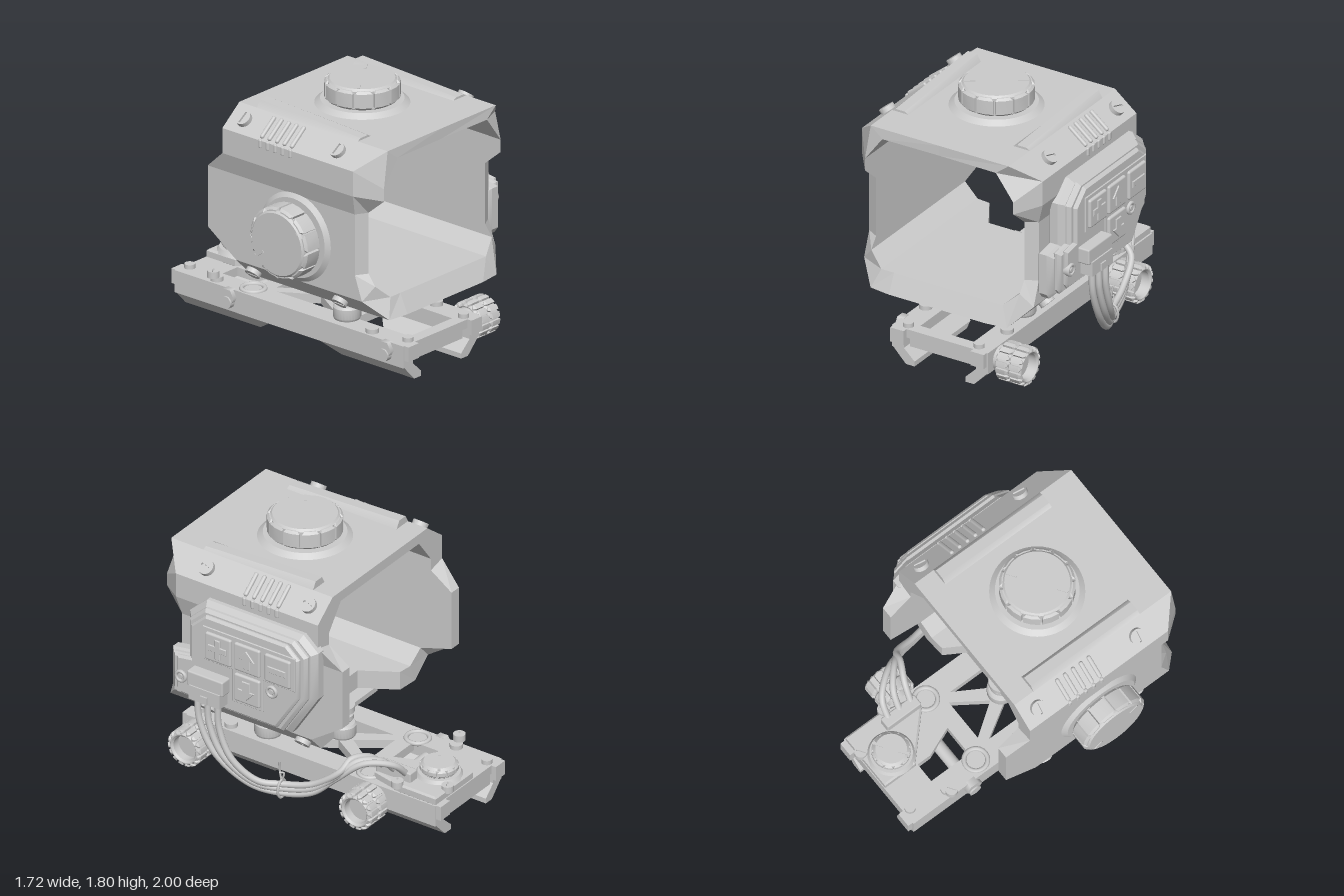
import * as THREE from 'three';
import { toCreasedNormals } from 'three/addons/utils/BufferGeometryUtils.js';
import { RoundedBoxGeometry } from 'three/addons/geometries/RoundedBoxGeometry.js';

const CX = -0.045; // middle of the housing and mount
const mat = new THREE.MeshStandardMaterial({ color: 0xcccccc });
const Z = new THREE.Vector3(0, 0, 1);

function add(parent, name, geo, x = 0, y = 0, z = 0) {
  const m = new THREE.Mesh(geo, mat);
  m.name = name;
  m.position.set(x, y, z);
  parent.add(m);
  return m;
}
const box = (w, h, d) => new THREE.BoxGeometry(w, h, d);
const cyl = (r, h, n = 24, r2 = r) => new THREE.CylinderGeometry(r2, r, h, n);
const shapeOf = pts => new THREE.Shape(pts.map(p => new THREE.Vector2(p[0], p[1])));
const pathOf = pts => new THREE.Path(pts.map(p => new THREE.Vector2(p[0], p[1])));
function extrude(shape, depth, bevel = 0) {
  const g = new THREE.ExtrudeGeometry(shape, {
    depth: depth - 2 * bevel, bevelEnabled: bevel > 0, bevelThickness: bevel,
    bevelSize: bevel, bevelOffset: -bevel, bevelSegments: 1, curveSegments: 24 });
  g.translate(0, 0, bevel);
  return toCreasedNormals(g, 0.5);
}
// outline given as [z, y], thickness runs towards +x
const sidePlate = (pts, depth, bevel) =>
  extrude(shapeOf(pts.map(([z, y]) => [-z, y])), depth, bevel).rotateY(Math.PI / 2);

// round outline with n raised grips separated by grooves
function gripShape(r, n, groove, share) {
  const pts = [], step = 2 * Math.PI / n;
  for (let i = 0; i < n; i++) {
    for (const [f, q] of [[0, groove], [0.02, r], [share / 2, r], [share, r], [share + 0.02, groove]]) {
      const a = (i + f) * step;
      pts.push([Math.cos(a) * q, Math.sin(a) * q]);
    }
  }
  return shapeOf(pts);
}

// rotary dial standing on z = 0
function dial(name, r, h) {
  const g = new THREE.Group();
  g.name = name;
  add(g, 'dialCollar', cyl(r * 1.25, 0.03, 48, r * 1.1).rotateX(Math.PI / 2), 0, 0, 0.015);
  add(g, 'dialCore', extrude(new THREE.Shape().absarc(0, 0, r * 0.92, 0, Math.PI * 2), h - 0.02, 0.015), 0, 0, 0.02);
  add(g, 'dialGrips', extrude(gripShape(r, 12, r * 0.91, 0.9), h - 0.045, 0.015), 0, 0, 0.035);
  for (const a of [0.6, 0.6 + Math.PI]) {
    const m = add(g, 'dialMark', box(0.07, 0.018, 0.01), Math.cos(a) * r * 0.7, Math.sin(a) * r * 0.7, h);
    m.rotation.z = a;
  }
  return g;
}

// slotted screw facing the given direction
function screw(parent, r, x, y, z, nx, ny, nz) {
  const g = new THREE.Group();
  g.name = 'screw';
  const s = new THREE.Shape().absarc(0, 0, r, 0, Math.PI * 2);
  const w = r * 0.14, l = r * 0.75;
  s.holes.push(pathOf([[-l, -w], [-l, w], [l, w], [l, -w]]));
  add(g, 'screwBase', cyl(r, 0.03).rotateX(Math.PI / 2));
  add(g, 'screwHead', extrude(s, 0.018), 0, 0, 0.012).rotation.z = 0.6;
  g.position.set(x, y, z);
  g.quaternion.setFromUnitVectors(Z, new THREE.Vector3(nx, ny, nz).normalize());
  parent.add(g);
}

// open tube: outer x,y | inner x,y | front z outer,inner | back z
function housingGeometry() {
  const half = [
    [0, 0.48, 0, 0.61, 1, 0.94, 0.05], [0.22, 0.48, 0.22, 0.61, 1, 0.94, 0.05],
    [0.36, 0.48, 0.36, 0.61, 1, 0.94, -0.18], [0.51, 0.48, 0.455, 0.61, 0.98, 0.94, -0.19],
    [0.635, 0.61, 0.555, 0.7, 0.86, 0.9, -0.2], [0.635, 0.775, 0.555, 0.775, 0.8, 0.845, -0.44],
    [0.635, 1.19, 0.555, 1.19, 0.8, 0.845, -0.44], [0.677, 1.33, 0.555, 1.3, 0.82, 0.975, -0.28],
    [0.677, 1.5, 0.555, 1.385, 0.82, 0.975, -0.28], [0.515, 1.63, 0.425, 1.56, 0.97, 0.975, -0.28],
    [0, 1.63, 0, 1.56, 0.97, 0.97, -0.28]];
  const ring = half.concat(half.slice(1, -1).reverse().map(p => [-p[0], p[1], -p[2], ...p.slice(3)]));
  const pos = [];
  const quad = (a, b, c, d) => pos.push(...a, ...b, ...c, ...a, ...c, ...d);
  const corners = p => ({ of: [p[0], p[1], p[4]], ob: [p[0], p[1], p[6]], nf: [p[2], p[3], p[5]], nb: [p[2], p[3], p[6]] });
  ring.forEach((p, i) => {
    const a = corners(p), b = corners(ring[(i + 1) % ring.length]);
    quad(a.of, a.ob, b.ob, b.of);
    quad(a.nf, b.nf, b.nb, a.nb);
    quad(a.of, b.of, b.nf, a.nf);
    quad(a.ob, a.nb, b.nb, b.ob);
  });
  const g = new THREE.BufferGeometry();
  g.setAttribute('position', new THREE.Float32BufferAttribute(pos, 3));
  g.computeVertexNormals();
  return g;
}

function buildHousing() {
  const g = new THREE.Group();
  g.name = 'housing';
  g.position.x = CX;
  add(g, 'shell', housingGeometry());
  const boss = cyl(0.14 * 1.41, 0.05, 4, 0.2 * 1.41).rotateY(Math.PI / 4);
  add(g, 'innerBoss', boss, 0, 1.54, 0.3);
  for (const s of [-1, 1]) {
    // wedge rails on the roof
    const rail = box(0.125, 0.05, 0.85), p = rail.attributes.position;
    for (let i = 0; i < p.count; i++) if (p.getY(i) > 0) {
      p.setX(i, p.getX(i) * 0.55);
      if (p.getZ(i) > 0) p.setY(i, -0.01);
    }
    rail.computeVertexNormals();
    add(g, 'roofRail', rail, s * 0.455, 1.655, 0.295);
    // chamfer screws and vent ribs
    for (const z of [0.63, -0.16]) screw(g, 0.052, s * 0.6, 1.565, z, s * 0.13, 0.162, 0);
    for (const z of [0.63, -0.1]) screw(g, 0.052, s * 0.575, 0.545, z, s * 0.13, -0.125, 0);
    for (let i = 0; i < 5; i++) {
      const z = 0.29 - i * 0.063;
      const rib = add(g, 'ventRib', new RoundedBoxGeometry(0.17, 0.03, 0.028, 2, 0.012), s * 0.6, 1.567, z);
      rib.rotation.z = -s * 0.676;
      add(g, 'ventRibFoot', new RoundedBoxGeometry(0.024, 0.06, 0.028, 2, 0.01), s * 0.675, 1.48, z);
    }
  }
  const top = dial('topDial', 0.243, 0.17);
  top.position.set(0, 1.63, 0.3);
  top.rotation.x = -Math.PI / 2;
  const side = dial('sideDial', 0.243, 0.185);
  side.position.set(-0.63, 0.905, 0.3);
  side.rotation.y = -Math.PI / 2;
  g.add(top, side);
  return g;
}

function buildPanel() {
  const g = new THREE.Group();
  g.name = 'controlPanel';
  const outline = [[0.555, 1.415], [-0.19, 1.415], [-0.305, 1.315], [-0.305, 0.98], [-0.1, 0.66],
    [0.79, 0.66], [0.82, 0.7], [0.82, 0.98], [0.69, 1.0], [0.69, 1.29]];
  const inset = k => outline.map(([z, y]) => [0.257 + (z - 0.257) * k, 1.035 + (y - 1.035) * k]);
  add(g, 'panelBase', sidePlate(outline, 0.125, 0.035), 0.57);
  add(g, 'panelStep', sidePlate(inset(0.92), 0.06, 0.02), 0.67);
  add(g, 'panelFace', sidePlate(inset(0.84), 0.04, 0.015), 0.715);
  add(g, 'buttonTray', sidePlate([[0.52, 1.285], [-0.195, 1.285], [-0.195, 1.04], [0.05, 1.04],
    [0.05, 0.81], [0.29, 0.81], [0.29, 1.04], [0.52, 1.04]], 0.012, 0.004), 0.75);
  const a = 0.022, b = 0.07;
  const arrow = s => [[0, 0.07 * s], [0.065, 0], [0.03, 0], [0.03, -0.065 * s], [-0.03, -0.065 * s], [-0.03, 0], [-0.065, 0]];
  const icons = [
    [0.392, 1.157, [[-a, b], [a, b], [a, a], [b, a], [b, -a], [a, -a], [a, -b], [-a, -b], [-a, -a], [-b, -a], [-b, a], [-a, a]]],
    [0.168, 1.157, arrow(1)], [-0.067, 1.157, [[-b, a], [b, a], [b, -a], [-b, -a]]], [0.168, 0.932, arrow(-1)]];
  for (const [z, y, pts] of icons) {
    add(g, 'button', new RoundedBoxGeometry(0.04, 0.2, 0.2, 2, 0.014), 0.76, y, z);
    add(g, 'buttonSymbol', sidePlate(pts, 0.014, 0.004), 0.774, y, z);
  }
  for (const [z, y] of [[0.69, 0.85], [-0.013, 0.98]]) {
    add(g, 'panelBolt', cyl(0.045, 0.08, 24).rotateZ(Math.PI / 2), 0.72, y, z);
    add(g, 'boltRing', new THREE.TorusGeometry(0.034, 0.011, 8, 24).rotateY(Math.PI / 2), 0.76, y, z);
    add(g, 'boltSocket', cyl(0.018, 0.02, 6).rotateZ(Math.PI / 2), 0.76, y, z);
  }
  // cable plug
  add(g, 'plugBody', new RoundedBoxGeometry(0.1, 0.11, 0.28, 1, 0.012), 0.785, 0.91, 0.455);
  add(g, 'plugSocket', box(0.09, 0.1, 0.24), 0.8, 0.82, 0.45);
  add(g, 'plugLatch', box(0.025, 0.05, 0.055), 0.843, 0.8, 0.45);
  return g;
}

function buildCables() {
  const g = new THREE.Group();
  g.name = 'cables';
  for (let i = 0; i < 3; i++) {
    const k = i - 1, e = -0.59 + k * 0.09;
    const pts = [[0.81, 0.8, 0.445 - k * 0.08], [0.81, 0.62, 0.435 - k * 0.075], [0.79, 0.4, 0.34 - k * 0.065],
      [0.71, 0.23 + k * 0.02, 0.16 - k * 0.03], [0.63, 0.2 + k * 0.032, 0], [0.58, 0.245 + k * 0.03, -0.2],
      [0.53, 0.37 + k * 0.035, -0.36 - k * 0.02], [0.45, 0.47, -0.46 + k * 0.05], [0.33, 0.45, e + 0.03], [0.22, 0.34, e]];
    const curve = new THREE.CatmullRomCurve3(pts.map(p => new THREE.Vector3(...p)));
    add(g, 'cable', new THREE.TubeGeometry(curve, 70, 0.022, 10));
  }
  // cable tie with loose tails
  const tie = add(g, 'cableTie', new THREE.TorusGeometry(0.055, 0.009, 6, 24), 0.63, 0.2, 0);
  tie.scale.set(0.8, 1.15, 1);
  for (const t of [-1, 1]) {
    const c = new THREE.CatmullRomCurve3([new THREE.Vector3(0.63, 0.25, 0), new THREE.Vector3(0.63, 0.32, 0.015 * t), new THREE.Vector3(0.645, 0.36 + 0.04 * t, 0.01)]);
    add(g, 'tieTail', new THREE.TubeGeometry(c, 10, 0.007, 6));
  }
  add(g, 'mountPlug', new RoundedBoxGeometry(0.08, 0.12, 0.27, 1, 0.01), 0.21, 0.31, -0.59);
  return g;
}

function buildMount() {
  const g = new THREE.Group();
  g.name = 'railMount';
  g.position.x = CX;
  // top frame, outline and holes as [x, -z]
  const frame = shapeOf([[-0.35, -0.965], [0.35, -0.965], [0.35, 0.965], [-0.35, 0.965]]);
  const w = 0.2, h = 0.29;
  frame.holes.push(pathOf([[-w, -0.88], [w, -0.88], [w, -0.42], [-w, -0.42]]));
  frame.holes.push(pathOf([[-w, 0.4], [0.02, 0.4], [-0.06, 0.6], [-0.06, 0.7], [-w, 0.7]]));
  for (const s of [-1, 1]) {
    frame.holes.push(pathOf([[s * w, -h + 0.05], [s * w, h - 0.05], [s * 0.055, 0]]));
    frame.holes.push(pathOf([[-w + 0.05, s * h], [w - 0.05, s * h], [0, s * 0.075]]));
  }
  add(g, 'topFrame', extrude(frame, 0.06).rotateX(-Math.PI / 2), 0, 0.19, 0);
  add(g, 'frontCrossBar', box(0.5, 0.07, 0.05), 0, 0.145, 0.9);
  add(g, 'rearCrossBar', box(0.5, 0.07, 0.05), 0, 0.145, -0.93);
  for (const s of [-1, 1]) {
    add(g, 'sideWall', box(0.09, 0.15, 1.93), s * 0.315, 0.175, 0);
    // slanted jaws, with the inner end cut back towards the bottom
    const jaw = shapeOf([[s * 0.36, 0.11], [s * 0.255, 0], [s * 0.19, 0], [s * 0.19, 0.035], [s * 0.27, 0.11]]);
    for (const [z0, z1, inner] of [[0.22, 0.965, 0.22], [-0.965, -0.2, -0.2]]) {
      const geo = extrude(jaw, z1 - z0).translate(0, 0, z0), p = geo.attributes.position;
      for (let i = 0; i < p.count; i++)
        if (Math.abs(p.getZ(i) - inner) < 0.01) p.setZ(i, inner + Math.sign(inner) * (0.11 - p.getY(i)) * 1.2);
      geo.computeVertexNormals();
      add(g, 'clampJaw', geo);
    }
    for (const e of [-1, 1]) {
      add(g, 'endCap', box(0.1, 0.1, 0.06), s * 0.3, 0.2, e * 0.97);
      add(g, 'cornerPost', cyl(0.042, 0.12), s * 0.305, 0.22, e * 0.655);
      add(g, 'frameStud', cyl(0.035, 0.035), s * 0.265, 0.262, e * 0.92);
    }
    add(g, 'railRing', new THREE.TorusGeometry(0.075, 0.016, 8, 32).rotateX(Math.PI / 2), s * 0.258, 0.25, -0.39);
  }
  // standing posts under the housing
  for (const [x, z] of [[-0.258, 0.4], [0, 0.01], [0.258, 0.4]]) {
    const post = [[0, 0.19], [0.05, 0.19], [0.05, 0.26], [0.082, 0.265], [0.09, 0.28], [0.09, 0.345], [0.08, 0.36],
      [0.05, 0.365], [0.05, 0.375], [0.065, 0.38], [0.072, 0.39], [0.072, 0.42], [0.06, 0.43], [0.055, 0.44], [0.08, 0.445], [0.08, 0.485], [0, 0.485]];
    const geo = new THREE.LatheGeometry(post.map(p => new THREE.Vector2(...p)), 28);
    add(g, 'post', toCreasedNormals(geo, 0.5), x, 0, z);
  }
  add(g, 'postBridge', box(0.62, 0.035, 0.5), 0, 0.465, 0.21);
  // clamp rods and ribbed hand knobs
  for (const z of [0.825, -0.5]) {
    add(g, 'clampRod', cyl(0.042, 0.8).rotateZ(Math.PI / 2), 0, 0.165, z);
    add(g, 'rodNut', cyl(0.06, 0.05, 6).rotateZ(Math.PI / 2), -0.365, 0.2, z);
    add(g, 'knobNeck', cyl(0.085, 0.06).rotateZ(Math.PI / 2), 0.38, 0.16, z);
    const ribbed = gripShape(0.13, 16, 0.114, 0.72);
    ribbed.holes.push(new THREE.Path().absarc(0, 0, 0.085, 0, Math.PI * 2, true));
    for (const x of [0.395, 0.495]) add(g, 'handKnob', extrude(ribbed, 0.092, 0.012).rotateY(Math.PI / 2), x, 0.155, z);
    add(g, 'knobCore', cyl(0.1, 0.12).rotateZ(Math.PI / 2), 0.46, 0.155, z);
  }
  // rear plate carrying the small dial
  const plate = shapeOf([[-0.06, 0.96], [0.35, 0.96], [0.35, 0.68], [0.3, 0.45], [0.22, 0.45], [-0.06, 0.72]]);
  add(g, 'rearPlate', extrude(plate, 0.065, 0.012).rotateX(-Math.PI / 2), 0, 0.24, 0);
  const small = dial('rearDial', 0.125, 0.1);
  small.position.set(0.085, 0.297, -0.8);
  small.rotation.x = -Math.PI / 2;
  g.add(small);
  for (const [x, z] of [[0.205, -0.95], [0.345, -0.66], [-0.345, -0.65]]) screw(g, 0.04, x, 0.3, z, 0, 1, 0);
  return g;
}

export function createModel() {
  const model = new THREE.Group();
  model.name = 'sight';
  model.add(buildHousing(), buildPanel(), buildCables(), buildMount());
  return model;
}
